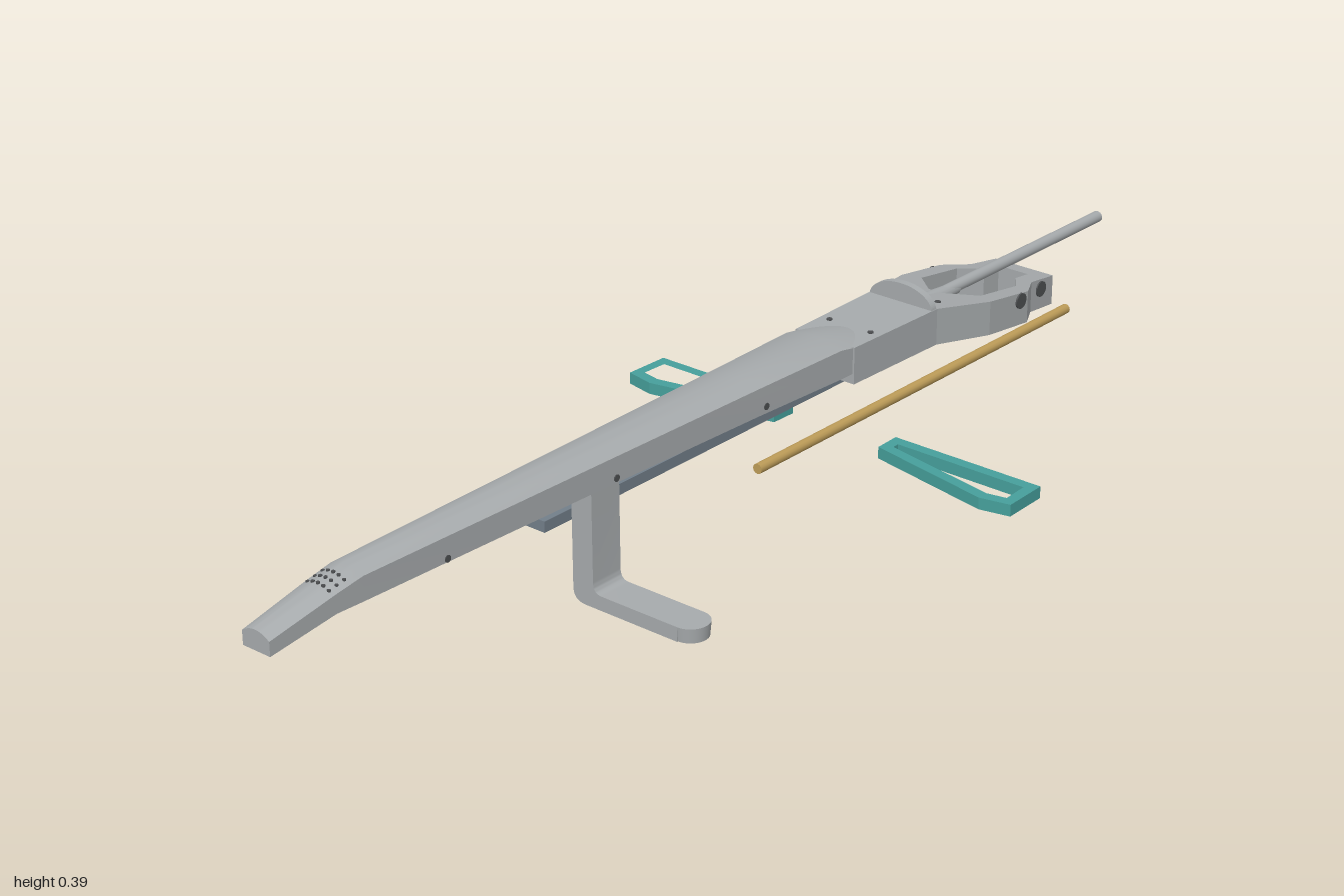
import * as THREE from 'three';
import { toCreasedNormals } from 'three/addons/utils/BufferGeometryUtils.js';

const mat = (name, color) => {
  const m = new THREE.MeshStandardMaterial({ color });
  m.name = name;
  return m;
};

export function createModel() {
  const model = new THREE.Group();
  // Everything is built along x, then the assembly is turned onto the diagonal
  const assembly = new THREE.Group();
  assembly.name = 'assembly';
  assembly.rotation.y = Math.PI / 4;
  model.add(assembly);

  const grey = mat('light grey', 0xa6aaac);
  const slate = mat('slate', 0x727e89);
  const gold = mat('gold', 0xbd9c58);
  const teal = mat('teal', 0x469f9b);
  const dark = mat('dark grey', 0x4c4e50);

  const add = (name, geometry, material, x = 0, y = 0, z = 0) => {
    const mesh = new THREE.Mesh(geometry, material);
    mesh.name = name;
    mesh.position.set(x, y, z);
    assembly.add(mesh);
    return mesh;
  };
  const toPoints = (list) => list.map(([x, y]) => new THREE.Vector2(x, y));
  // Plan outline (x, z) raised between y0 and y1
  const plate = (outline, hole, y0, y1) => {
    const shape = new THREE.Shape(toPoints(outline.map(([x, z]) => [x, -z])));
    if (hole) shape.holes.push(new THREE.Path(toPoints(hole.map(([x, z]) => [x, -z]))));
    const g = new THREE.ExtrudeGeometry(shape, { depth: y1 - y0, bevelEnabled: false });
    return g.rotateX(-Math.PI / 2).translate(0, y0, 0);
  };
  const mirrored = (half) => [...half, ...half.map(([x, z]) => [x, -z]).reverse()];
  const rod = (name, material, x0, x1, y, z, r, sides) =>
    add(name, new THREE.CylinderGeometry(r, r, x1 - x0, sides).rotateZ(Math.PI / 2), material, (x0 + x1) / 2, y, z);

  // Long tapering body: flat sides and a shallow arched top
  // Stations: x, half width, bottom, shoulder, crown
  const stations = [
    [-1.377, 0.037, 0.273, 0.305, 0.318],
    [-1.21, 0.042, 0.297, 0.338, 0.351],
    [-1.14, 0.044, 0.296, 0.35, 0.364],
    [-0.45, 0.06, 0.291, 0.35, 0.365],
    [0, 0.07, 0.286, 0.35, 0.365],
    [0.28, 0.078, 0.281, 0.35, 0.365],
    [0.4, 0.08, 0.281, 0.33, 0.345],
  ];
  const rings = stations.map(([x, w, bottom, shoulder, crown]) => {
    const ring = [[x, bottom, w]];
    for (let i = 0; i <= 12; i++) {
      const t = -1 + i / 6;
      ring.push([x, shoulder + (crown - shoulder) * (1 - t * t), -t * w]);
    }
    ring.push([x, bottom, -w]);
    return ring;
  });
  const positions = [];
  const tri = (a, b, c) => positions.push(...a, ...b, ...c);
  const n = rings[0].length;
  for (let i = 0; i < rings.length - 1; i++) {
    for (let j = 0; j < n; j++) {
      const k = (j + 1) % n;
      tri(rings[i][j], rings[i + 1][j], rings[i][k]);
      tri(rings[i + 1][j], rings[i + 1][k], rings[i][k]);
    }
  }
  const last = rings[rings.length - 1];
  for (let j = 1; j < n - 1; j++) {
    tri(rings[0][0], rings[0][j], rings[0][j + 1]);
    tri(last[0], last[j + 1], last[j]);
  }
  const body = new THREE.BufferGeometry();
  body.setAttribute('position', new THREE.Float32BufferAttribute(positions, 3));
  add('longBody', toCreasedNormals(body, 0.45), grey);

  // Flat block behind the body
  add('rearBlock', plate(mirrored([[0.32, 0.083], [0.615, 0.09]]), null, 0.257, 0.345), grey);

  // Open rear frame, sloping down towards the end
  const frame = plate(
    mirrored([[0.615, 0.09], [0.77, 0.127], [0.92, 0.127], [0.99, 0.088], [1.085, 0.083]]),
    mirrored([[0.73, 0.02], [0.79, 0.085], [0.93, 0.085], [0.985, 0.045], [1.04, 0.042]]), 0, 1);
  const p = frame.attributes.position;
  for (let i = 0; i < p.count; i++) {
    const t = (p.getX(i) - 0.615) / 0.47;
    p.setY(i, p.getY(i) > 0.5 ? 0.345 - 0.067 * t : 0.257 - 0.052 * t);
  }
  frame.computeVertexNormals();
  add('rearFrame', frame, grey);

  // Hole marks on the outer faces of the rear frame
  for (const s of [-1, 1]) {
    for (const [x, y, z] of [[0.89, 0.287, 0.128], [1.03, 0.262, 0.087]]) {
      add('frameHole', new THREE.CylinderGeometry(0.019, 0.019, 0.006, 20).rotateX(Math.PI / 2), dark, x, y, s * z);
    }
    // Small pin marks along the sides of the body
    for (const [x, z] of [[-0.92, 0.049], [-0.44, 0.0605], [0.03, 0.071]]) {
      add('sidePin', new THREE.CylinderGeometry(0.008, 0.008, 0.004, 12).rotateX(Math.PI / 2), dark, x, 0.302, s * z);
    }
    // Screw marks on top of the rear block
    for (const [x, y] of [[0.41, 0.346], [0.66, 0.339]]) {
      add('topScrew', new THREE.CylinderGeometry(0.007, 0.007, 0.004, 12), dark, x, y, s * 0.058);
    }
  }

  // Rows of dots near the front tip
  for (let i = 0; i < 3; i++) {
    for (let j = -2; j <= 2; j++) {
      add('tipDot', new THREE.CylinderGeometry(0.004, 0.004, 0.005, 8), dark,
        -1.215 + i * 0.02, 0.351 + i * 0.0037 - 0.0019 * j * j, j * 0.0145);
    }
  }

  // Upright half-oval plate across the rear block
  const arch = new THREE.Shape();
  arch.absellipse(0, 0, 0.088, 0.048, 0, Math.PI, false);
  arch.closePath();
  add('crossPlate', new THREE.ExtrudeGeometry(arch, { depth: 0.018, bevelEnabled: false, curveSegments: 20 })
    .rotateY(-Math.PI / 2), grey, 0.614, 0.342, 0);

  // Rear rod with its tapered root
  rod('rearRod', grey, 0.62, 1.392, 0.316, 0, 0.014, 20);
  add('rodRoot', new THREE.CylinderGeometry(0.014, 0.026, 0.15, 20).rotateZ(-Math.PI / 2), grey, 0.735, 0.312, 0);

  // Long bar and thin rod below the body
  add('longBar', new THREE.BoxGeometry(1.766, 0.026, 0.06), slate, 0.367, 0.175, -0.104);
  rod('thinRod', gold, 0, 1.165, 0.164, 0.071, 0.012, 12);

  // Open side loops, mirrored
  const loop = [[0.393, 0.147], [0.327, 0.149], [0.263, 0.47], [0.278, 0.543], [0.393, 0.54]];
  const loopHole = [[0.366, 0.174], [0.348, 0.175], [0.291, 0.47], [0.3, 0.517], [0.366, 0.514]];
  for (const s of [-1, 1]) {
    const side = (list) => list.map(([x, z]) => [x, s * z]);
    add(s > 0 ? 'leftLoop' : 'rightLoop', plate(side(loop), side(loopHole), 0.094, 0.122), teal);
  }

  // Bent leg: upright with a foot reaching sideways
  const leg = new THREE.Shape();
  leg.moveTo(-0.034, 0.3);
  leg.lineTo(-0.034, 0.035);
  leg.quadraticCurveTo(-0.034, 0.003, 0, 0.003);
  leg.lineTo(0.252, 0.003);
  leg.lineTo(0.252, 0.037);
  leg.lineTo(0.045, 0.037);
  leg.quadraticCurveTo(0.022, 0.037, 0.022, 0.062);
  leg.lineTo(0.022, 0.3);
  const legGeometry = new THREE.ExtrudeGeometry(leg, { depth: 0.086, bevelEnabled: false, curveSegments: 8 });
  add('bentLeg', toCreasedNormals(legGeometry.rotateY(-Math.PI / 2), 0.6), grey, -0.39, 0, 0);
  add('footEnd', new THREE.CylinderGeometry(0.043, 0.04, 0.034, 24, 1, false, -Math.PI / 2, Math.PI), grey, -0.433, 0.02, 0.252);

  return model;
}
